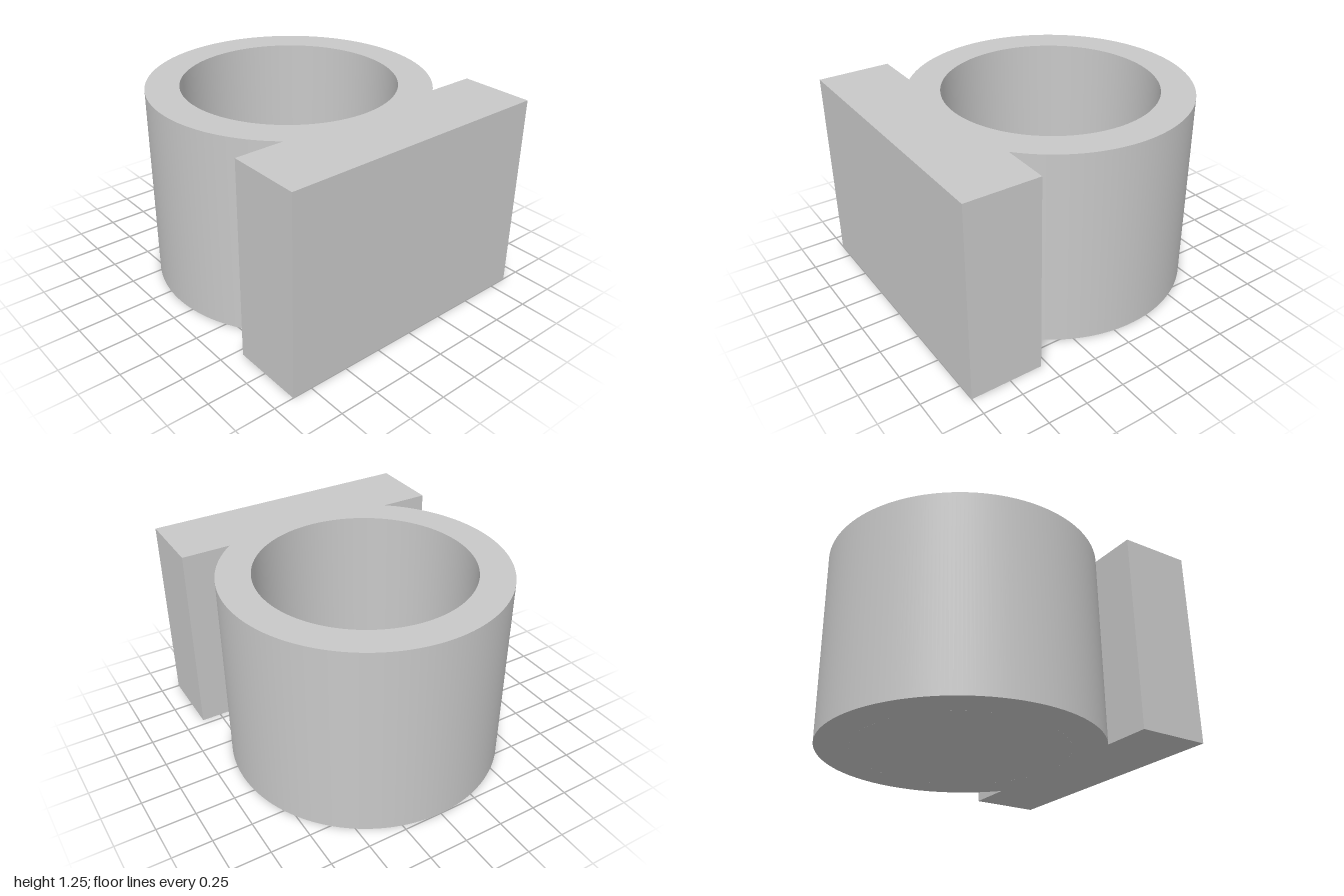
import * as THREE from 'three';
import { toCreasedNormals } from 'three/addons/utils/BufferGeometryUtils.js';

const CX = -0.125, OUTER = 0.875, BORE = 0.6667;
const HEIGHT = 1.25, FLOOR = 0.2083;
const PLATE_IN = CX + BORE, PLATE_OUT = 1, HALF = 0.875;

export function createModel() {
  const model = new THREE.Group();
  model.name = 'cupWithMountingPlate';
  const grey = new THREE.MeshStandardMaterial({ color: 0xc8c8c8 });
  grey.name = 'light grey';

  // Cup wall and flat mounting plate share one outline
  const a = Math.acos(BORE / OUTER);
  const outline = new THREE.Shape();
  outline.moveTo(PLATE_IN, -HALF);
  outline.lineTo(PLATE_OUT, -HALF);
  outline.lineTo(PLATE_OUT, HALF);
  outline.lineTo(PLATE_IN, HALF);
  outline.absarc(CX, 0, OUTER, a, 2 * Math.PI - a, false);
  outline.closePath();
  const bore = new THREE.Path();
  bore.absarc(CX, 0, BORE, 0, 2 * Math.PI, true);
  outline.holes.push(bore);

  const body = new THREE.ExtrudeGeometry(outline, { depth: HEIGHT, bevelEnabled: false, curveSegments: 96 });
  body.rotateX(-Math.PI / 2);
  const wall = new THREE.Mesh(toCreasedNormals(body, Math.PI / 6), grey);
  wall.name = 'cupWallAndPlate';
  model.add(wall);

  // Closed floor: inner face and underside
  for (const [name, y, turn] of [['cupFloor', FLOOR, -1], ['cupUnderside', 0, 1]]) {
    const disc = new THREE.Mesh(new THREE.CircleGeometry(BORE, 96), grey);
    disc.name = name;
    disc.rotation.x = turn * Math.PI / 2;
    disc.position.set(CX, y, 0);
    model.add(disc);
  }
  return model;
}
